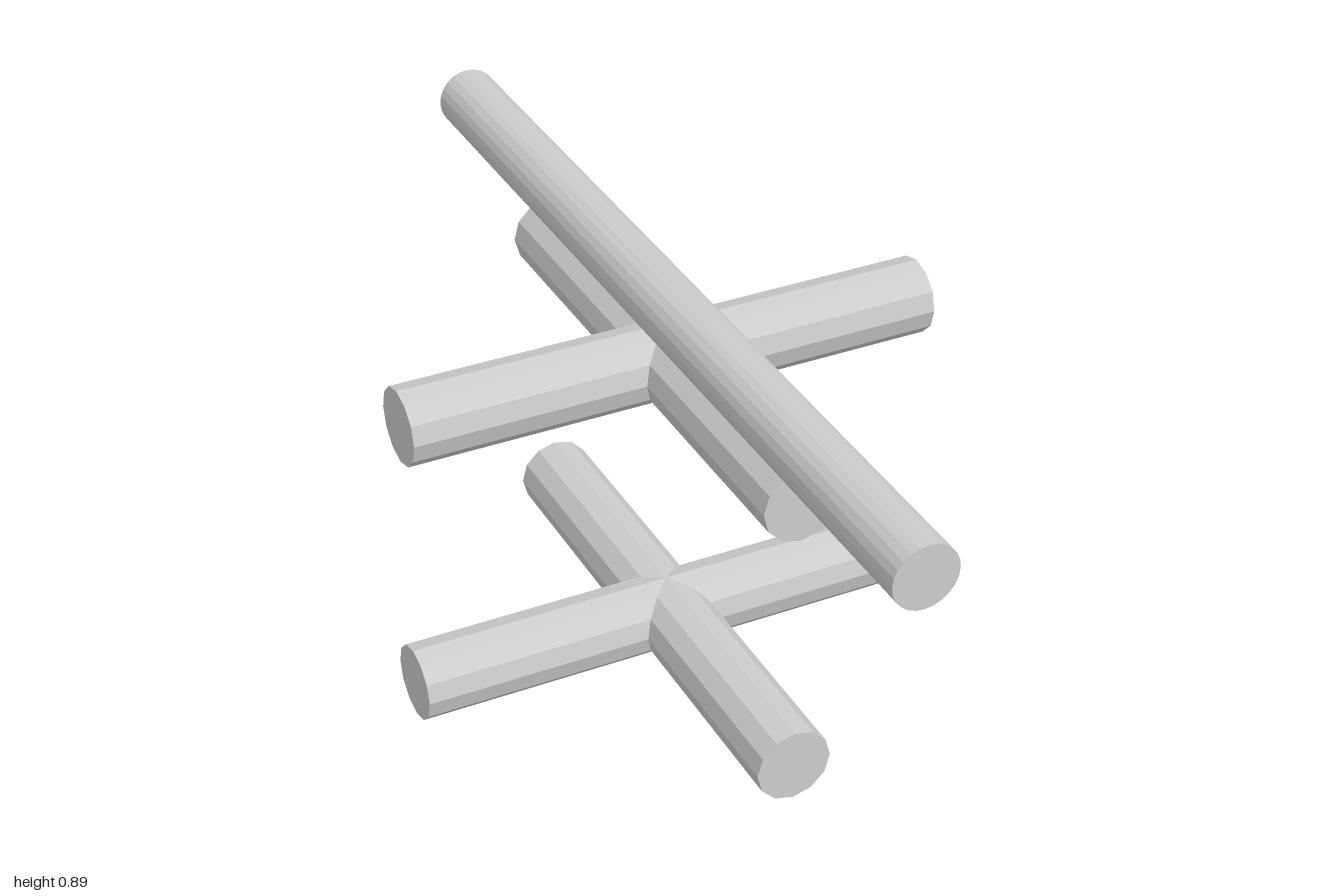
import * as THREE from 'three';

export function createModel() {
  const model = new THREE.Group();
  const paleGrey = new THREE.MeshStandardMaterial({ color: 0xcccccc, flatShading: true });
  paleGrey.name = 'paleGrey';

  // A faceted bar lying along x or z at the given height
  function addBar(name, radius, length, sides, y, axis) {
    const geometry = new THREE.CylinderGeometry(radius, radius, length, sides);
    if (axis === 'x') geometry.rotateZ(Math.PI / 2);
    else geometry.rotateX(Math.PI / 2);
    const bar = new THREE.Mesh(geometry, paleGrey);
    bar.name = name;
    bar.position.y = y;
    model.add(bar);
  }

  // Lower and upper crosses, each of two intersecting bars
  for (const [level, y] of [['lower', 0.08], ['upper', 0.7]]) {
    addBar(level + 'CrossBarSideways', 0.08, 1.135, 12, y, 'x');
    addBar(level + 'CrossBarLengthways', 0.08, 1.135, 12, y, 'z');
  }

  // Long thin pole resting on the upper cross
  addBar('topPole', 0.067, 2, 24, 0.822, 'z');

  return model;
}
